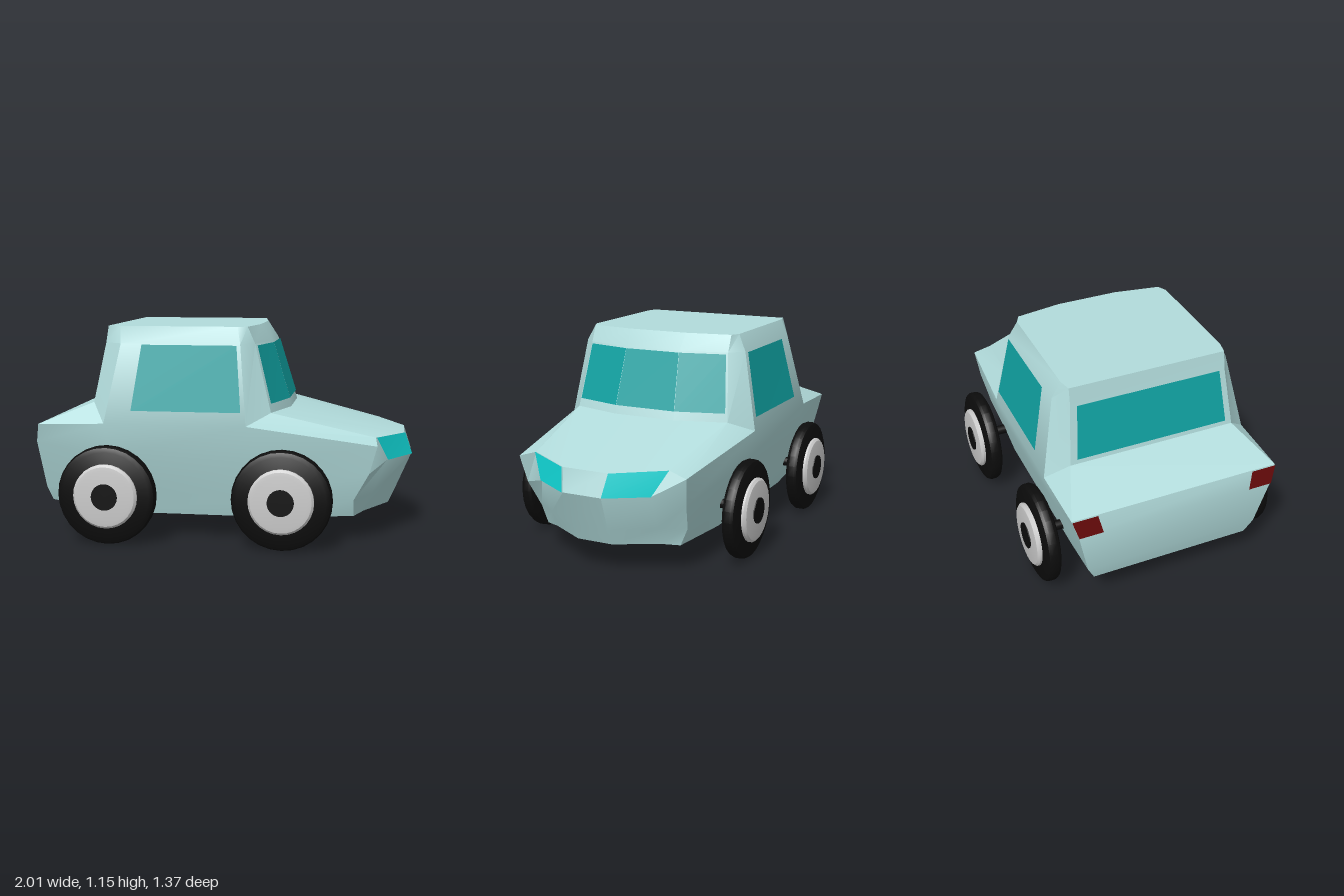
import * as THREE from 'three';
import { toCreasedNormals } from 'three/addons/utils/BufferGeometryUtils.js';

const mat = (color) => new THREE.MeshStandardMaterial({ color });
const paint = mat(0xb2dcdc), glass = mat(0x10a2a2), lamp = mat(0x10d4d4);
const tail = mat(0x660a0a), rubber = mat(0x0c0c0c), metal = mat(0xcccccc);
const flip = ([x, y, z]) => [x, y, -z];

// Half outlines on the left side, rear corner to nose, from the floor up to the belt line
const hull = [
  [[-0.95, 0.19, 0.44], [-0.6, 0.13, 0.43], [0.3, 0.13, 0.43], [0.7, 0.145, 0.4], [0.75, 0.155, 0.31], [0.88, 0.16, 0.1]],
  [[-0.97, 0.27, 0.48], [-0.6, 0.25, 0.47], [0.3, 0.25, 0.465], [0.7, 0.24, 0.44], [0.79, 0.25, 0.315], [0.92, 0.25, 0.1]],
  [[-1, 0.53, 0.54], [-0.61, 0.45, 0.52], [0.22, 0.45, 0.52], [0.78, 0.39, 0.47], [0.87, 0.44, 0.32], [1, 0.44, 0.11]],
  [[-0.98, 0.63, 0.57], [-0.62, 0.64, 0.575], [0.14, 0.64, 0.57], [0.82, 0.54, 0.49], [0.81, 0.57, 0.39], [0.96, 0.56, 0.13]],
];
// Cabin half outlines: rear corner, side rear, side front, windscreen corner, windscreen middle
const cabin = [
  [[-0.7, 0.74, 0.46], hull[3][1], hull[3][2], [0.26, 0.7, 0.46], [0.34, 0.7, 0.18]],
  [[-0.635, 1.06, 0.43], [-0.54, 1.06, 0.49], [0.1, 1.06, 0.49], [0.17, 1.06, 0.42], [0.23, 1.06, 0.16]],
  [[-0.62, 1.15, 0.43], [-0.55, 1.15, 0.445], [0.08, 1.15, 0.445], [0.13, 1.15, 0.42], [0.17, 1.15, 0.17]],
];

function bodyGeometry() {
  const out = [];
  const tri = (a, b, c) => out.push(...a, ...b, ...c);
  const quad = (a, b, c, d) => { tri(a, b, c); tri(a, c, d); };
  // same patch on both sides
  const pair = (a, b, c, d) => { quad(a, b, c, d); quad(flip(d), flip(c), flip(b), flip(a)); };
  const loft = (rows) => {
    for (let r = 0; r + 1 < rows.length; r++) {
      const lo = rows[r], hi = rows[r + 1], n = lo.length - 1;
      for (let i = 0; i < n; i++) pair(lo[i], lo[i + 1], hi[i + 1], hi[i]);
      quad(lo[n], flip(lo[n]), flip(hi[n]), hi[n]);
      quad(flip(lo[0]), lo[0], hi[0], flip(hi[0]));
    }
  };
  loft(hull);
  loft(cabin);
  // floor and roof
  const floor = hull[0], roof = cabin[2];
  for (let i = 0; i + 1 < floor.length; i++) quad(floor[i], flip(floor[i]), flip(floor[i + 1]), floor[i + 1]);
  for (let i = 0; i + 1 < roof.length; i++) quad(roof[i], roof[i + 1], flip(roof[i + 1]), flip(roof[i]));
  // rear deck
  const [A, B, C, D, E, F] = hull[3], [R, , , U, V] = cabin[0];
  quad(A, R, flip(R), flip(A));
  tri(A, B, R);
  tri(flip(R), flip(B), flip(A));
  // bonnet
  pair(C, D, E, U);
  pair(U, E, F, V);
  quad(V, F, flip(F), flip(V));
  const g = new THREE.BufferGeometry();
  g.setAttribute('position', new THREE.Float32BufferAttribute(out, 3));
  return toCreasedNormals(g, 0.55);
}

// Thin panel laid on part of a body patch (corners a, b below and d, c above)
function panel(name, material, [a, b, c, d], [u0, u1], [t0, t1]) {
  const [va, vb, vc, vd] = [a, b, c, d].map((p) => new THREE.Vector3(...p));
  const lift = vc.clone().sub(va).cross(vd.clone().sub(vb)).normalize().multiplyScalar(0.007);
  const at = (u, t) => va.clone().lerp(vb, u).lerp(vd.clone().lerp(vc, u), t).add(lift);
  const g = new THREE.BufferGeometry().setFromPoints([at(u0, t0), at(u1, t0), at(u1, t1), at(u0, t1)]);
  g.setIndex([0, 1, 2, 0, 2, 3]);
  g.computeVertexNormals();
  const mesh = new THREE.Mesh(g, material);
  mesh.name = name;
  return mesh;
}

function wheel(name) {
  const g = new THREE.Group();
  g.name = name;
  const lathe = (part, material, pts) => {
    const geo = new THREE.LatheGeometry(pts.map(([r, z]) => new THREE.Vector2(r, z)), 28);
    const m = new THREE.Mesh(toCreasedNormals(geo.rotateX(Math.PI / 2), 0.5), material);
    m.name = part;
    g.add(m);
  };
  // profiles run from the inner face outward along the axle
  lathe('tire', rubber, [[0, -0.04], [0.235, -0.04], [0.257, -0.03], [0.265, -0.015], [0.265, 0.015], [0.257, 0.03], [0.235, 0.04], [0, 0.04]]);
  lathe('rim', metal, [[0.172, 0.035], [0.172, 0.052], [0.16, 0.064], [0.14, 0.067], [0, 0.067]]);
  lathe('hubCap', rubber, [[0.07, 0.06], [0.07, 0.073], [0, 0.073]]);
  return g;
}

export function createModel() {
  const car = new THREE.Group();
  car.name = 'car';
  const body = new THREE.Mesh(bodyGeometry(), paint);
  body.name = 'body';
  car.add(body);

  // Panels that exist on both sides
  const both = (name, material, q, u, t) => {
    const [a, b, c, d] = q;
    car.add(panel(name + 'Left', material, q, u, t));
    car.add(panel(name + 'Right', material, [b, a, d, c].map(flip), [1 - u[1], 1 - u[0]], t));
  };
  const patch = (rows, r, i) => [rows[r][i], rows[r][i + 1], rows[r + 1][i + 1], rows[r + 1][i]];
  both('sideWindow', glass, patch(cabin, 0, 1), [0.18, 0.97], [0.165, 0.985]);
  both('windscreenSide', glass, patch(cabin, 0, 3), [0.04, 1], [0.125, 0.97]);
  both('headlight', lamp, patch(hull, 2, 4), [0, 1], [0, 1]);

  // Panels that cross the middle
  const V0 = cabin[0][4], V1 = cabin[1][4], R0 = cabin[0][0], R1 = cabin[1][0];
  car.add(panel('windscreenMiddle', glass, [V0, flip(V0), flip(V1), V1], [0, 1], [0.125, 0.97]));
  car.add(panel('rearWindow', glass, [flip(R0), R0, R1, flip(R1)], [0.04, 0.96], [0.08, 0.97]));

  // Tail lamps in the upper rear corners
  const A2 = hull[2][0], A3 = hull[3][0];
  both('tailLamp', tail, [flip(A2), A2, A3, flip(A3)], [0.88, 1], [0, 0.97]);

  // Wheels and axles
  for (const [end, x] of [['rear', -0.595], ['front', 0.335]]) {
    for (const [side, s] of [['Left', 1], ['Right', -1]]) {
      const w = wheel(end + side + 'Wheel');
      w.position.set(x, 0.265, s * 0.61);
      if (s < 0) w.rotation.y = Math.PI;
      car.add(w);
    }
    const axle = new THREE.Mesh(new THREE.CylinderGeometry(0.027, 0.027, 1.16, 16).rotateX(Math.PI / 2), rubber);
    axle.name = end + 'Axle';
    axle.position.set(x, 0.275, 0);
    car.add(axle);
  }
  return car;
}
